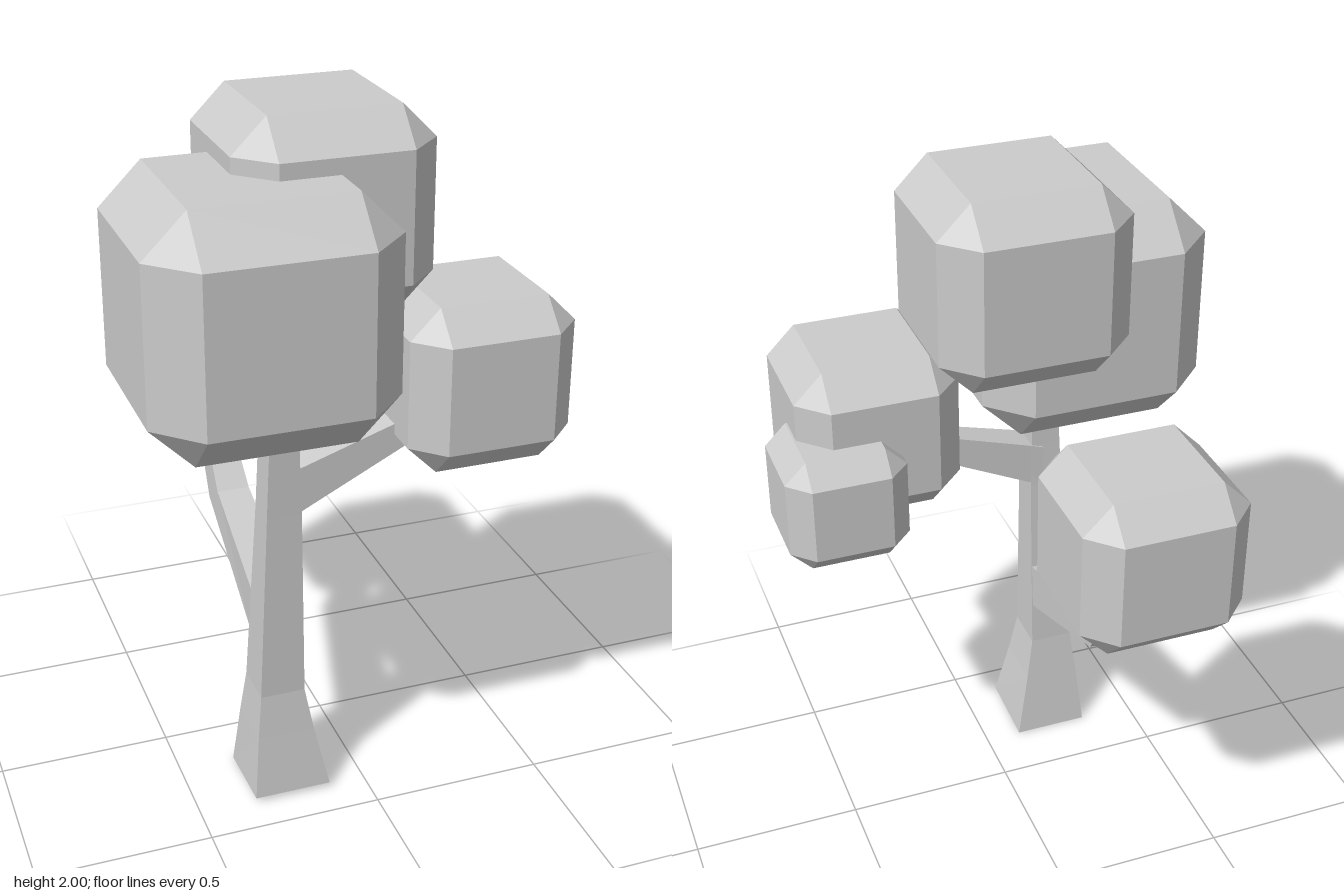
import * as THREE from 'three';
import { ConvexGeometry } from 'three/addons/geometries/ConvexGeometry.js';

const material = new THREE.MeshStandardMaterial({ color: 0xcccccc, flatShading: true });

function mesh(name, geometry) {
  const m = new THREE.Mesh(geometry, material);
  m.name = name;
  return m;
}

// Cube with chamfered edges and triangular corners
function chamferedCube(size, chamfer) {
  const h = size / 2, k = h - chamfer, points = [];
  for (const x of [-1, 1]) for (const y of [-1, 1]) for (const z of [-1, 1]) {
    points.push(
      new THREE.Vector3(x * h, y * k, z * k),
      new THREE.Vector3(x * k, y * h, z * k),
      new THREE.Vector3(x * k, y * k, z * h));
  }
  return new ConvexGeometry(points);
}

// Closed skin over four-cornered rings, counterclockwise seen from the far end
function loft(rings) {
  const positions = [];
  const quad = (a, b, c, d) => positions.push(...a, ...b, ...c, ...a, ...c, ...d);
  for (let r = 0; r < rings.length - 1; r++) {
    for (let i = 0; i < 4; i++) {
      const j = (i + 1) % 4;
      quad(rings[r][i], rings[r][j], rings[r + 1][j], rings[r + 1][i]);
    }
  }
  const [a, b, c, d] = rings[0];
  quad(d, c, b, a);
  quad(...rings[rings.length - 1]);
  const geometry = new THREE.BufferGeometry();
  geometry.setAttribute('position', new THREE.Float32BufferAttribute(positions, 3));
  geometry.computeVertexNormals();
  return geometry;
}

export function createModel() {
  const tree = new THREE.Group();
  tree.name = 'tree';

  // Trunk: y at back, y at front, x range, z range
  const trunk = [
    [0, 0.015, -0.335, -0.11, 0.165, 0.395],
    [0.2, 0.2, -0.317, -0.15, 0.195, 0.37],
    [0.33, 0.33, -0.303, -0.173, 0.215, 0.355],
    [0.9, 0.9, -0.28, -0.18, 0.26, 0.36],
    [1.04, 1.04, -0.275, -0.185, 0.267, 0.363],
    [1.35, 1.35, -0.262, -0.195, 0.28, 0.37],
  ].map(([yb, yf, x0, x1, z0, z1]) =>
    [[x0, yf, z1], [x1, yf, z1], [x1, yb, z0], [x0, yb, z0]]);
  tree.add(mesh('trunk', loft(trunk)));

  // Side branch: x, y range, z range
  const sideBranch = [
    [-0.22, 0.895, 1.03, 0.26, 0.36],
    [-0.182, 0.91, 1.042, 0.262, 0.36],
    [0.13, 1.055, 1.135, 0.27, 0.345],
    [0.25, 1.11, 1.17, 0.275, 0.335],
  ].map(([x, y0, y1, z0, z1]) =>
    [[x, y0, z1], [x, y0, z0], [x, y1, z0], [x, y1, z1]]);
  tree.add(mesh('sideBranch', loft(sideBranch)));

  // Back branch with an elbow: x range, lower edge (y, z), upper edge (y, z)
  const backBranch = [
    [-0.29, -0.18, 0.446, 0.28, 0.6, 0.28],
    [-0.288, -0.178, 0.465, 0.228, 0.61, 0.238],
    [-0.265, -0.167, 0.66, -0.262, 0.722, -0.17],
    [-0.258, -0.178, 0.9, -0.42, 0.9, -0.335],
    [-0.25, -0.19, 1.02, -0.49, 1.02, -0.43],
  ].map(([x0, x1, yl, zl, yu, zu]) =>
    [[x1, yl, zl], [x0, yl, zl], [x0, yu, zu], [x1, yu, zu]]);
  tree.add(mesh('backBranch', loft(backBranch)));

  // Leaf clumps: size, chamfer, centre
  const clumps = [
    ['frontLeaves', 0.67, 0.118, -0.305, 1.525, 0.325],
    ['topLeaves', 0.552, 0.096, -0.071, 1.724, 0.134],
    ['sideLeaves', 0.476, 0.084, 0.329, 1.247, 0.288],
    ['smallSideLeaves', 0.35, 0.062, 0.46, 1.115, 0.125],
    ['backLeaves', 0.477, 0.083, -0.235, 1.132, -0.423],
  ];
  for (const [name, size, chamfer, ...centre] of clumps) {
    const leaves = mesh(name, chamferedCube(size, chamfer));
    leaves.position.set(...centre);
    tree.add(leaves);
  }
  return tree;
}
